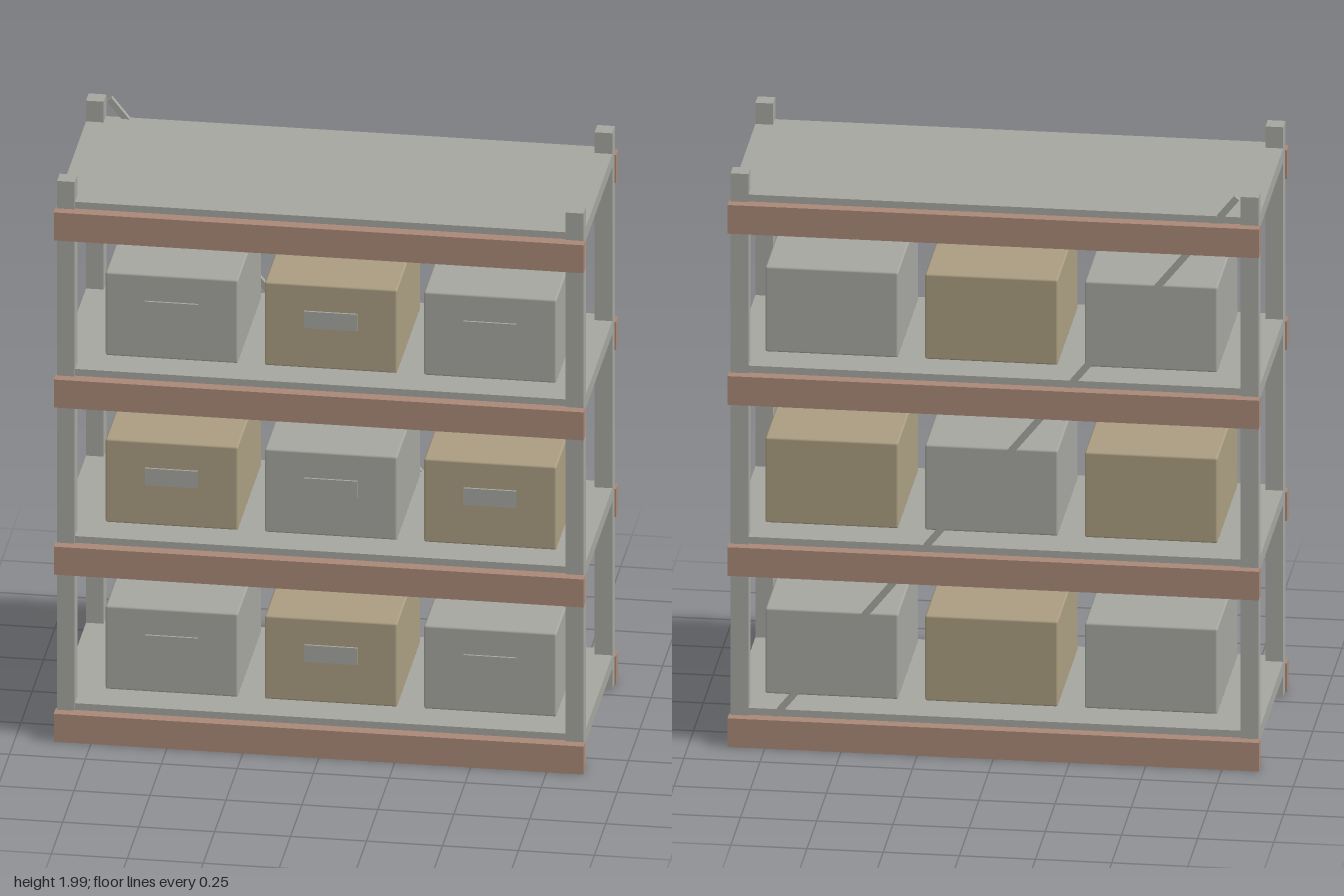
import * as THREE from 'three';
import { RoundedBoxGeometry } from 'three/addons/geometries/RoundedBoxGeometry.js';

function material(name, color) {
  const m = new THREE.MeshStandardMaterial({ color });
  m.name = name;
  return m;
}

export function createModel() {
  const root = new THREE.Group();
  root.name = 'storageRack';
  const grey = material('grey metal', 0xa4a59f);
  const tan = material('tan cardboard', 0xa99c80);
  const brown = material('brown beam', 0xa88776);

  function add(name, geometry, mat, x, y, z) {
    const mesh = new THREE.Mesh(geometry, mat);
    mesh.name = name;
    mesh.position.set(x, y, z);
    root.add(mesh);
    return mesh;
  }

  // Corner posts
  const postGeo = new THREE.BoxGeometry(0.058, 1.99, 0.058);
  for (const x of [-0.837, 0.837]) {
    for (const z of [-0.318, 0.318]) add('post', postGeo, grey, x, 1.0, z);
  }

  // Four shelves, each with a front and a back beam
  const shelfGeo = new THREE.BoxGeometry(1.732, 0.048, 0.68);
  const beamGeo = new THREE.BoxGeometry(1.744, 0.1, 0.045);
  for (let i = 0; i < 4; i++) {
    const y = 0.053 + i * 0.598;
    add('shelf', shelfGeo, grey, 0, y + 0.05, 0);
    for (const z of [-0.358, 0.358]) add('beam', beamGeo, brown, 0, y, z);
  }

  // Storage boxes in alternating colours, with a label plate on the front
  const boxGeo = new RoundedBoxGeometry(0.436, 0.298, 0.516, 2, 0.007);
  const labelGeo = new THREE.BoxGeometry(0.175, 0.06, 0.008);
  for (let row = 0; row < 3; row++) {
    const y = 0.296 + row * 0.597;
    for (let col = 0; col < 3; col++) {
      const x = -0.502 + col * 0.524;
      add('storageBox', boxGeo, (row + col) % 2 ? tan : grey, x, y, 0.002);
      add('boxLabel', labelGeo, grey, x, y + 0.026, 0.263);
    }
  }

  // Diagonal brace across the back
  const dx = 1.59, dy = 1.975;
  const brace = add('diagonalBrace',
    new THREE.BoxGeometry(0.02, Math.hypot(dx, dy), 0.018), grey, 0, 1, -0.334);
  brace.rotation.z = Math.atan2(dx, dy);

  return root;
}
